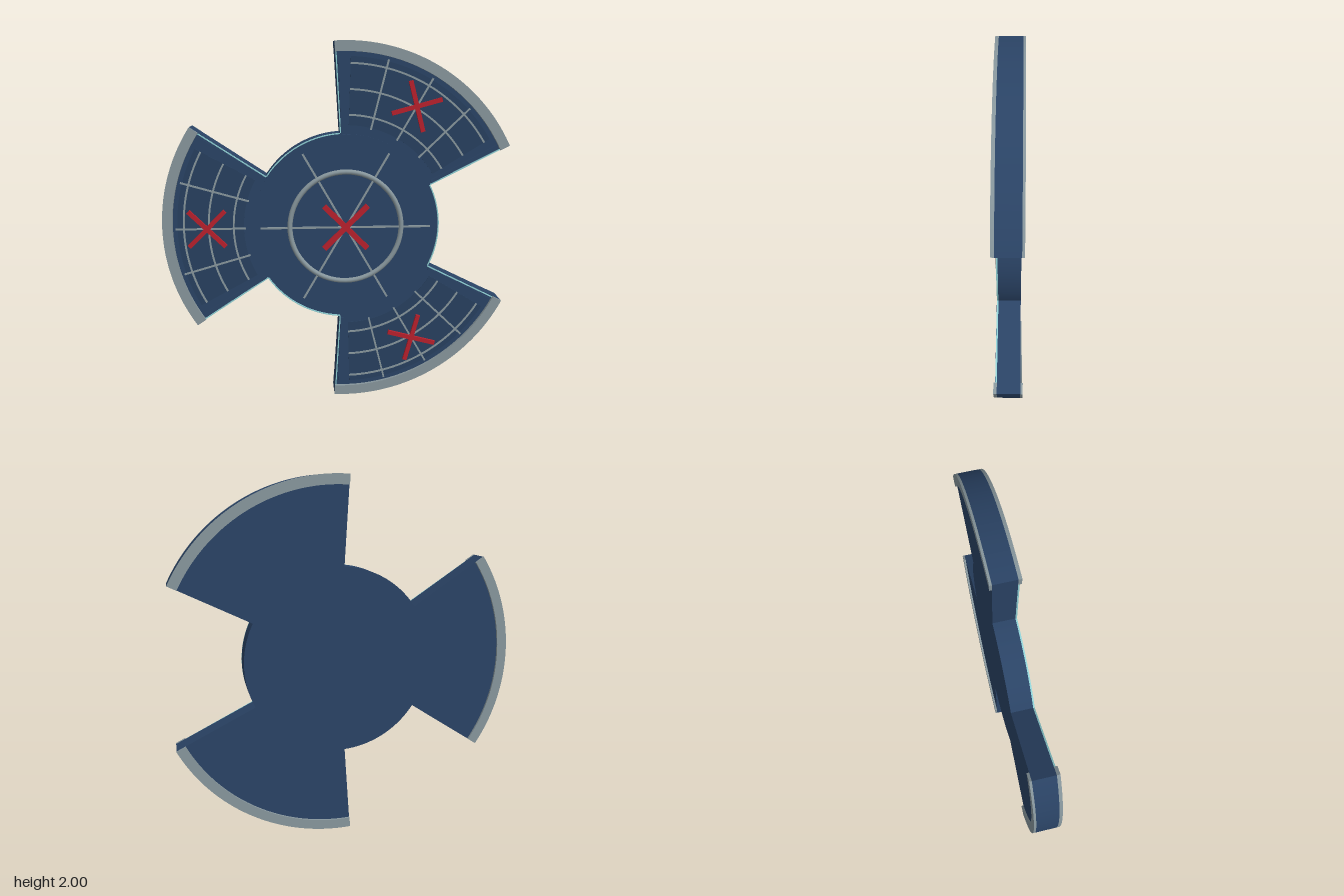
import * as THREE from 'three';

const DEG = Math.PI / 180;
const HALF = 33.6 * DEG;      // half angle of a blade
const HUB = 0.52;             // hub radius
const BACK = -0.063, FRONT = 0.053;

const paint = (color) => new THREE.MeshStandardMaterial({ color });

export function createModel() {
  const navy = paint(0x2a4365), panelBlue = paint(0x27405f), grey = paint(0x87969c);
  const red = paint(0xb8202c), teal = paint(0x8fd0d4);
  const model = new THREE.Group();
  model.name = 'threeBladedDisc';
  const core = new THREE.Group();
  core.name = 'disc';
  core.position.set(0.05, 1, 0);
  model.add(core);

  const add = (parent, name, geometry, material) => {
    const mesh = new THREE.Mesh(geometry, material);
    mesh.name = name;
    parent.add(mesh);
    return mesh;
  };
  const extrude = (shape, z0, z1, segments = 24) =>
    new THREE.ExtrudeGeometry(shape, { depth: z1 - z0, bevelEnabled: false, curveSegments: segments })
      .translate(0, 0, z0);
  // Ring sector between two radii and two angles
  const sector = (r0, r1, a0, a1) => {
    const s = new THREE.Shape();
    s.absarc(0, 0, r1, a0, a1, false);
    s.absarc(0, 0, r0, a1, a0, true);
    s.closePath();
    return s;
  };
  // Straight bar along a direction, centred on (x, y)
  const bar = (parent, name, material, length, width, z0, z1, angle, x = 0, y = 0) => {
    const mesh = add(parent, name, new THREE.BoxGeometry(length, width, z1 - z0), material);
    mesh.position.set(x, y, (z0 + z1) / 2);
    mesh.rotation.z = angle;
  };

  // Hub and blades as one solid outline
  const outline = new THREE.Shape();
  for (let i = 0; i < 3; i++) {
    const mid = (60 + 120 * i) * DEG;
    outline.absarc(0, 0, 1, mid - HALF, mid + HALF, false);
    outline.absarc(0, 0, HUB, mid + HALF, mid + 120 * DEG - HALF, false);
  }
  outline.closePath();
  add(core, 'body', extrude(outline, BACK, FRONT), navy);

  // Hub front: raised plate, ring, spokes and centre cross
  const hub = new THREE.Group();
  hub.name = 'hub';
  core.add(hub);
  const plate = new THREE.Shape();
  plate.absarc(0, 0, 0.512, 0, Math.PI * 2, false);
  add(hub, 'hubPlate', extrude(plate, FRONT, 0.059, 48), navy);
  add(hub, 'hubRing', new THREE.TorusGeometry(0.308, 0.014, 10, 64).translate(0, 0, 0.06), grey);
  for (let i = 0; i < 3; i++) bar(hub, 'spoke', grey, 0.94, 0.011, 0.055, 0.065, i * 60 * DEG);
  for (const a of [45, -45]) bar(hub, 'centreCross', red, 0.34, 0.03, 0.058, 0.073, a * DEG);

  // Three blades, each built pointing along +x and turned into place
  for (let i = 0; i < 3; i++) {
    const blade = new THREE.Group();
    blade.name = 'blade';
    blade.rotation.z = (60 + 120 * i) * DEG;
    core.add(blade);

    add(blade, 'frontRim', extrude(sector(0.945, 1, -HALF, HALF), FRONT, 0.07), grey);
    add(blade, 'backRim', extrude(sector(0.945, 1, -HALF, HALF), -0.075, BACK), grey);
    const panelHalf = 28.5 * DEG;
    add(blade, 'panel', extrude(sector(0.56, 0.92, -panelHalf, panelHalf), FRONT, 0.057), panelBlue);

    // Grid of arcs and radial lines
    for (const r of [0.615, 0.75, 0.885])
      add(blade, 'gridArc', extrude(sector(r - 0.005, r + 0.005, -panelHalf, panelHalf), 0.055, 0.062), grey);
    for (const a of [-16, 0, 16]) {
      const t = a * DEG;
      bar(blade, 'gridLine', grey, 0.38, 0.01, 0.055, 0.062, t, 0.74 * Math.cos(t), 0.74 * Math.sin(t));
    }

    // Edge rails and thin pale edging on both sides
    for (const s of [-1, 1]) {
      const t = s * 32 * DEG;
      bar(blade, 'edgeRail', navy, 0.41, 0.018, FRONT, 0.062, t, 0.735 * Math.cos(t), 0.735 * Math.sin(t));
      const e = s * 33.3 * DEG;
      bar(blade, 'edgeLine', teal, 0.425, 0.006, FRONT, 0.061, e, 0.732 * Math.cos(e), 0.732 * Math.sin(e));
    }
    // Pale edging on the hub between this blade and the next
    add(blade, 'hubEdgeLine', extrude(sector(0.514, HUB, HALF, 120 * DEG - HALF), FRONT, 0.061), teal);

    for (const a of [45, -45]) bar(blade, 'bladeCross', red, 0.28, 0.024, 0.056, 0.072, a * DEG, 0.76);
  }
  return model;
}
